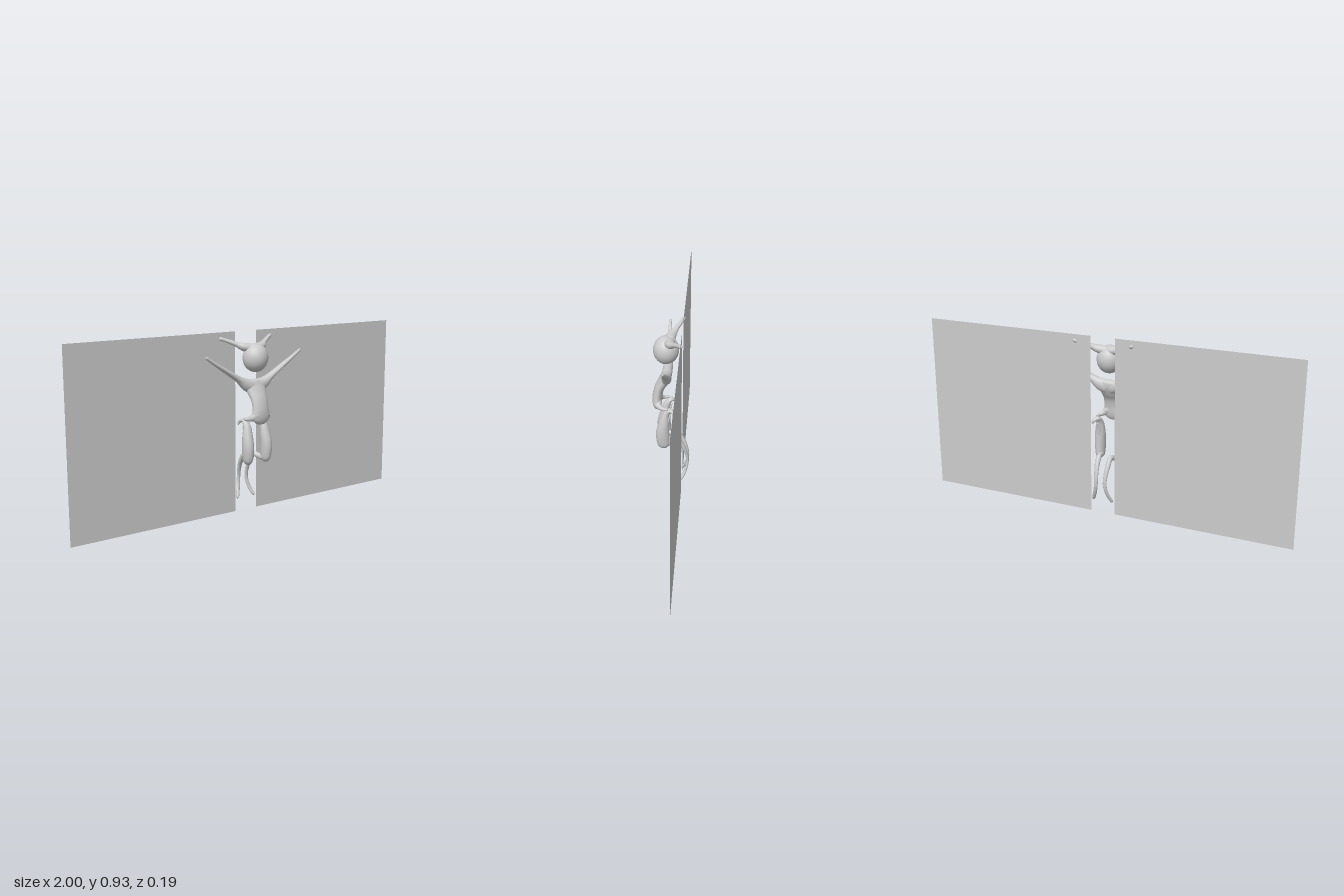
import * as THREE from 'three';

const skin = new THREE.MeshStandardMaterial({ color: 0xcccccc, side: THREE.DoubleSide });

// Smooth limb swept along points [x, y, z, radius along ref, radius across], with rounded ends
function limb(name, pts, ref, cap = 0.06, rings = 40, sides = 20) {
  const path = new THREE.CatmullRomCurve3(pts.map(p => new THREE.Vector3(p[0], p[1], p[2])));
  const radii = new THREE.CatmullRomCurve3(
    pts.map(p => new THREE.Vector3(p[3], p[4] ?? p[3], 0)), false, 'catmullrom', 0.5);
  const pos = [], index = [];
  for (let i = 0; i <= rings; i++) {
    const t = (1 - Math.cos(Math.PI * i / rings)) / 2;
    const d = Math.min(t, 1 - t);
    const f = d < cap ? Math.sqrt(Math.max(0, 1 - (1 - d / cap) ** 2)) : 1;
    const c = path.getPoint(t), T = path.getTangent(t), r = radii.getPoint(t);
    const S = ref.clone().addScaledVector(T, -ref.dot(T)).normalize();
    const B = T.clone().cross(S);
    for (let j = 0; j < sides; j++) {
      const a = 2 * Math.PI * j / sides;
      const p = c.clone().addScaledVector(S, Math.cos(a) * r.x * f)
        .addScaledVector(B, Math.sin(a) * r.y * f);
      pos.push(p.x, p.y, p.z);
      if (i < rings) {
        const k = i * sides + j, n = i * sides + (j + 1) % sides;
        index.push(k, n, k + sides, n, n + sides, k + sides);
      }
    }
  }
  const geo = new THREE.BufferGeometry();
  geo.setAttribute('position', new THREE.Float32BufferAttribute(pos, 3));
  geo.setIndex(index);
  geo.computeVertexNormals();
  const mesh = new THREE.Mesh(geo, skin);
  mesh.name = name;
  return mesh;
}

export function createModel() {
  const model = new THREE.Group();
  const X = new THREE.Vector3(1, 0, 0), Z = new THREE.Vector3(0, 0, 1);

  // Head
  const head = new THREE.Mesh(new THREE.SphereGeometry(1, 32, 24), skin);
  head.name = 'head';
  head.scale.set(0.065, 0.072, 0.064);
  head.position.set(0, 0.803, 0.025);
  model.add(head);

  // Torso, from shoulders down to the pointed base
  model.add(limb('torso', [
    [0, 0.697, 0.018, 0.058, 0.02],
    [0, 0.665, 0.022, 0.064, 0.026],
    [0, 0.63, 0.038, 0.054, 0.027],
    [0, 0.595, 0.057, 0.047, 0.025],
    [0, 0.55, 0.068, 0.047, 0.025],
    [0, 0.515, 0.07, 0.053, 0.024],
    [0, 0.492, 0.07, 0.045, 0.02],
    [0, 0.47, 0.07, 0.018, 0.01],
  ], X));

  for (const s of [1, -1]) {
    const side = s > 0 ? 'left' : 'right';
    const part = (name, pts, ref, cap) => model.add(
      limb(side + name, pts.map(([x, ...rest]) => [s * x, ...rest]), ref, cap));

    // Horn-like ear sweeping out and back
    part('Ear', [
      [0.0, 0.848, 0.012, 0.03, 0.026],
      [0.055, 0.858, 0.0, 0.024, 0.02],
      [0.085, 0.872, -0.017, 0.014, 0.013],
      [0.125, 0.889, -0.039, 0.01],
      [0.162, 0.903, -0.058, 0.009],
    ], Z);

    // Raised arm
    part('Arm', [
      [0.0, 0.658, 0.022, 0.025, 0.038],
      [0.05, 0.67, 0.02, 0.025, 0.032],
      [0.1, 0.702, 0.018, 0.021, 0.017],
      [0.18, 0.752, 0.018, 0.017, 0.012],
      [0.25, 0.795, 0.02, 0.01, 0.009],
      [0.298, 0.827, 0.022, 0.006, 0.007],
    ], Z, 0.04);

    // Small hip flare curling backwards
    part('Hip', [
      [0.02, 0.525, 0.07, 0.025],
      [0.045, 0.508, 0.06, 0.018],
      [0.06, 0.499, 0.038, 0.01],
      [0.066, 0.499, 0.012, 0.006],
    ], X);

    // Thigh with a hooked top
    part('Thigh', [
      [0.077, 0.464, -0.02, 0.005],
      [0.068, 0.483, -0.014, 0.01, 0.008],
      [0.056, 0.488, 0.005, 0.016, 0.012],
      [0.053, 0.462, 0.024, 0.02, 0.018],
      [0.056, 0.41, 0.034, 0.027, 0.027],
      [0.058, 0.355, 0.04, 0.028, 0.034],
      [0.057, 0.305, 0.037, 0.025, 0.033],
      [0.055, 0.264, 0.03, 0.02, 0.027],
    ], X, 0.1);

    // Short spur behind the thigh
    part('Spur', [
      [0.055, 0.4, 0.018, 0.014, 0.011],
      [0.055, 0.435, 0.01, 0.012, 0.007],
      [0.057, 0.465, 0.0, 0.006, 0.004],
    ], X);

    // Thin bowed shin
    part('Shin', [
      [0.052, 0.288, 0.03, 0.02, 0.02],
      [0.04, 0.292, -0.005, 0.014, 0.014],
      [0.032, 0.299, -0.03, 0.013, 0.014],
      [0.03, 0.265, -0.059, 0.013, 0.011],
      [0.026, 0.215, -0.08, 0.011, 0.008],
      [0.025, 0.165, -0.087, 0.01, 0.007],
      [0.035, 0.115, -0.077, 0.01, 0.007],
      [0.054, 0.066, -0.056, 0.008, 0.008],
    ], X, 0.03);

    // Large flat panel behind each side
    const panel = new THREE.Mesh(new THREE.PlaneGeometry(0.934, 0.932), skin);
    panel.name = side + 'Panel';
    panel.position.set(s * 0.533, 0.466, -0.056);
    model.add(panel);
  }
  return model;
}
